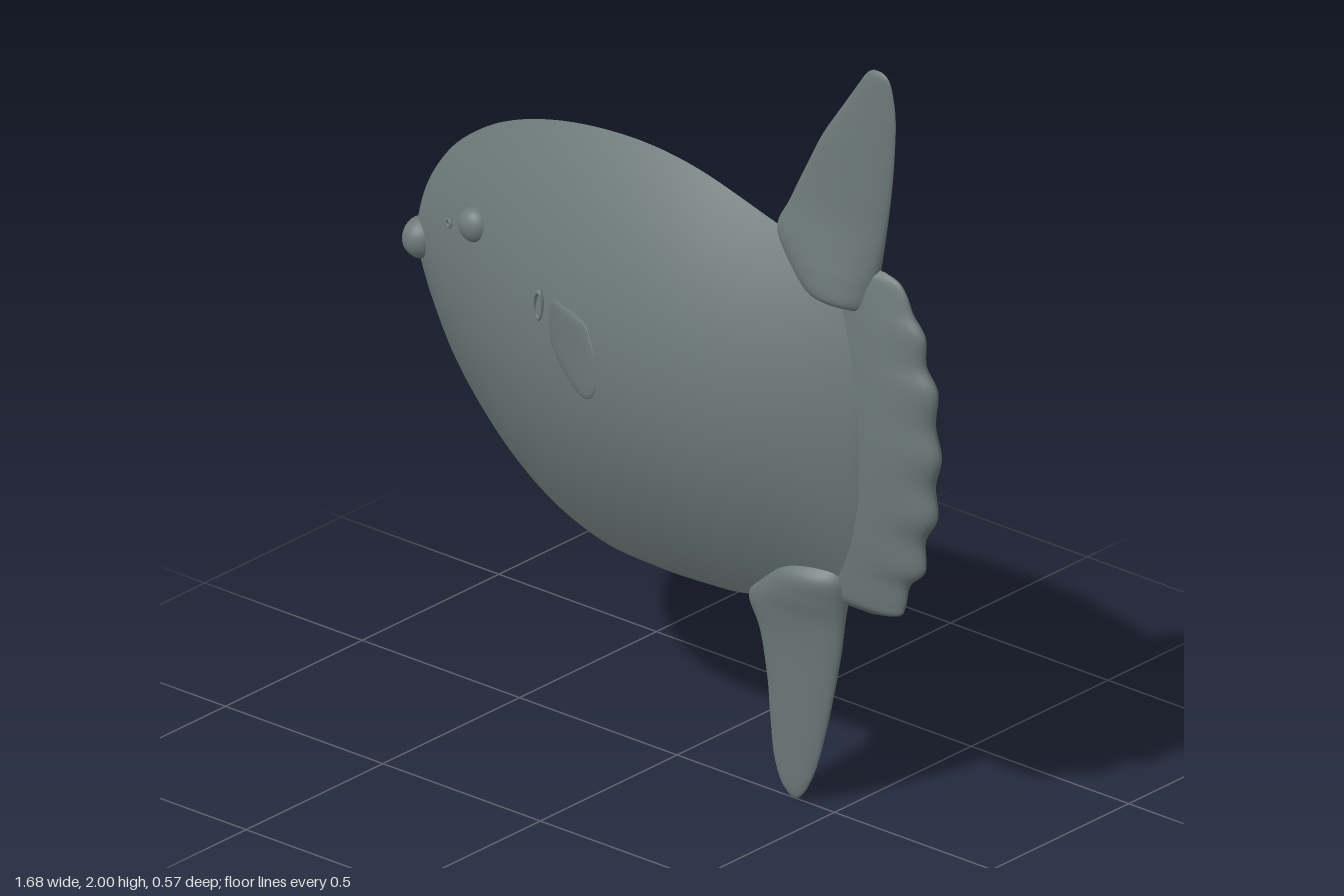
import * as THREE from 'three';

// Catmull-Rom interpolation through rows of numbers, t in 0..1
function sample(rows, t) {
  const p = t * (rows.length - 1);
  const i = Math.min(Math.floor(p), rows.length - 2);
  const f = p - i;
  const at = k => rows[Math.max(0, Math.min(rows.length - 1, k))];
  return rows[0].map((_, c) => {
    const a = at(i - 1)[c], b = at(i)[c], d = at(i + 1)[c], e = at(i + 2)[c];
    return b + 0.5 * f * (d - a + f * (2 * a - 5 * b + 4 * d - e + f * (3 * (b - d) + e - a)));
  });
}

// Two mirrored skins with a crease where they meet; f(u, v) has u running +x and v running down
function mirroredSkin(nu, nv, f) {
  const pos = [], index = [];
  for (const s of [1, -1]) {
    const base = pos.length / 3;
    for (let i = 0; i <= nu; i++) for (let j = 0; j <= nv; j++) {
      const [x, y, z] = f(i / nu, j / nv);
      pos.push(x, y, s * Math.max(0, z));
    }
    for (let i = 0; i < nu; i++) for (let j = 0; j < nv; j++) {
      const a = base + i * (nv + 1) + j, b = a + 1, d = a + nv + 1, c = d + 1;
      if (s > 0) index.push(a, b, c, a, c, d);
      else index.push(a, c, b, a, d, c);
    }
  }
  const g = new THREE.BufferGeometry();
  g.setAttribute('position', new THREE.Float32BufferAttribute(pos, 3));
  g.setIndex(index);
  g.computeVertexNormals();
  return g;
}

// Fin from rows [y, front x, rear x, half thickness], listed top to bottom
function finGeometry(rows, nu = 20, nv = 60) {
  return mirroredSkin(nu, nv, (u, v) => {
    const [y, x0, x1, th] = sample(rows, v);
    return [x0 + (x1 - x0) * (1 - Math.cos(Math.PI * u)) / 2, y, th * Math.sin(Math.PI * u)];
  });
}

export function createModel() {
  const model = new THREE.Group();
  const skin = new THREE.MeshStandardMaterial({ color: 0x6c7878 });
  skin.name = 'slateGreySkin';
  const add = (name, geometry) => {
    const m = new THREE.Mesh(geometry, skin);
    m.name = name;
    model.add(m);
    return m;
  };

  // Body: lens-shaped sections [x, top, bottom, half width]
  const bodyRows = [
    [-0.825, 1.14, 1.13, 0.0], [-0.81, 1.225, 1.055, 0.016], [-0.77, 1.315, 0.955, 0.034],
    [-0.7, 1.405, 0.83, 0.056], [-0.6, 1.48, 0.71, 0.086], [-0.5, 1.527, 0.62, 0.113],
    [-0.4, 1.557, 0.555, 0.136], [-0.3, 1.576, 0.512, 0.155], [-0.2, 1.586, 0.487, 0.169],
    [-0.1, 1.588, 0.48, 0.177], [0, 1.58, 0.478, 0.18], [0.1, 1.562, 0.482, 0.177],
    [0.2, 1.535, 0.49, 0.167], [0.3, 1.506, 0.515, 0.15], [0.4, 1.48, 0.55, 0.126],
    [0.5, 1.45, 0.58, 0.096], [0.58, 1.39, 0.63, 0.067], [0.62, 1.31, 0.7, 0.048],
    [0.65, 1.15, 0.87, 0.02], [0.66, 1.03, 1.01, 0],
  ];
  add('body', mirroredSkin(95, 40, (u, v) => {
    const [x, top, bottom, w] = sample(bodyRows, u);
    const t = Math.cos(Math.PI * v);
    return [x, (top + bottom) / 2 + t * (top - bottom) / 2, w * (1 - t * t)];
  }));

  // Tall upper and lower fins
  add('dorsalFin', finGeometry([
    [2.0, 0.625, 0.65, 0], [1.985, 0.603, 0.672, 0.007], [1.95, 0.578, 0.685, 0.01],
    [1.88, 0.53, 0.694, 0.013], [1.78, 0.462, 0.69, 0.017], [1.68, 0.41, 0.68, 0.021],
    [1.58, 0.36, 0.665, 0.028], [1.5, 0.322, 0.65, 0.042], [1.43, 0.36, 0.635, 0.055],
    [1.37, 0.42, 0.62, 0.055], [1.35, 0.46, 0.6, 0],
  ]));
  add('ventralFin', finGeometry([
    [0.66, 0.38, 0.52, 0.02], [0.62, 0.33, 0.54, 0.058], [0.56, 0.27, 0.537, 0.055],
    [0.5, 0.232, 0.53, 0.042], [0.42, 0.265, 0.52, 0.031], [0.3, 0.288, 0.496, 0.023],
    [0.2, 0.297, 0.472, 0.018], [0.1, 0.308, 0.443, 0.013], [0.04, 0.328, 0.415, 0.01],
    [0.012, 0.35, 0.395, 0.006], [0, 0.365, 0.38, 0],
  ]));

  // Scalloped rudder-like tail
  add('tailFin', finGeometry([
    [1.475, 0.56, 0.66, 0], [1.46, 0.53, 0.705, 0.014], [1.43, 0.51, 0.73, 0.022],
    [1.385, 0.5, 0.75, 0.03], [1.335, 0.5, 0.787, 0.036], [1.26, 0.5, 0.789, 0.042],
    [1.2, 0.5, 0.825, 0.046], [1.11, 0.5, 0.817, 0.049], [1.03, 0.5, 0.836, 0.05],
    [0.95, 0.5, 0.817, 0.049], [0.87, 0.5, 0.825, 0.046], [0.8, 0.5, 0.787, 0.042],
    [0.72, 0.5, 0.787, 0.036], [0.67, 0.5, 0.74, 0.03], [0.61, 0.5, 0.725, 0.024],
    [0.58, 0.51, 0.705, 0.018], [0.56, 0.53, 0.62, 0],
  ], 24, 112));

  // Puckered mouth, hollow at the front
  const lips = new THREE.LatheGeometry(new THREE.SplineCurve([
    [0, -0.045], [0.035, -0.035], [0.053, -0.005], [0.048, 0.025], [0.034, 0.04],
    [0.022, 0.036], [0.018, 0.015], [0, 0.005],
  ].map(p => new THREE.Vector2(...p))).getPoints(28).map(p => p.setX(Math.max(0, p.x))), 32);
  const mouth = add('mouth', lips);
  mouth.rotation.z = Math.PI / 2;
  mouth.position.set(-0.803, 1.125, 0);

  // Paired details on each flank
  const pectoralRows = [
    [1.212, -0.11, -0.08, 0], [1.204, -0.17, -0.06, 0.006], [1.185, -0.245, -0.045, 0.009],
    [1.15, -0.272, -0.022, 0.01], [1.11, -0.28, -0.012, 0.01], [1.07, -0.265, -0.012, 0.01],
    [1.04, -0.21, -0.025, 0.009], [1.018, -0.13, -0.05, 0.006], [1.01, -0.1, -0.075, 0],
  ];
  for (const s of [1, -1]) {
    const side = s > 0 ? 'left' : 'right';

    // Pectoral fin sweeping out and back
    const g = finGeometry(pectoralRows, 20, 32);
    const p = g.attributes.position;
    for (let i = 0; i < p.count; i++) {
      const k = (p.getX(i) + 0.28) / 0.27;
      p.setZ(i, p.getZ(i) + s * (0.147 + 0.17 * k - 0.035 * k * k));
    }
    g.computeVertexNormals();
    add(side + 'PectoralFin', g);

    const eye = add(side + 'Eye', new THREE.SphereGeometry(0.045, 28, 18));
    eye.scale.z = 0.8;
    eye.position.set(-0.58, 1.25, s * 0.07);

    const nostril = add(side + 'Nostril', new THREE.TorusGeometry(0.009, 0.004, 8, 16));
    nostril.position.set(-0.675, 1.22, s * 0.057);
    nostril.rotation.y = -s * 0.3;

    const gill = add(side + 'GillOpening', new THREE.TorusGeometry(0.034, 0.007, 10, 32));
    gill.scale.x = 0.42;
    gill.position.set(-0.31, 1.145, s * 0.147);
    gill.rotation.y = -s * 0.17;
  }
  return model;
}
